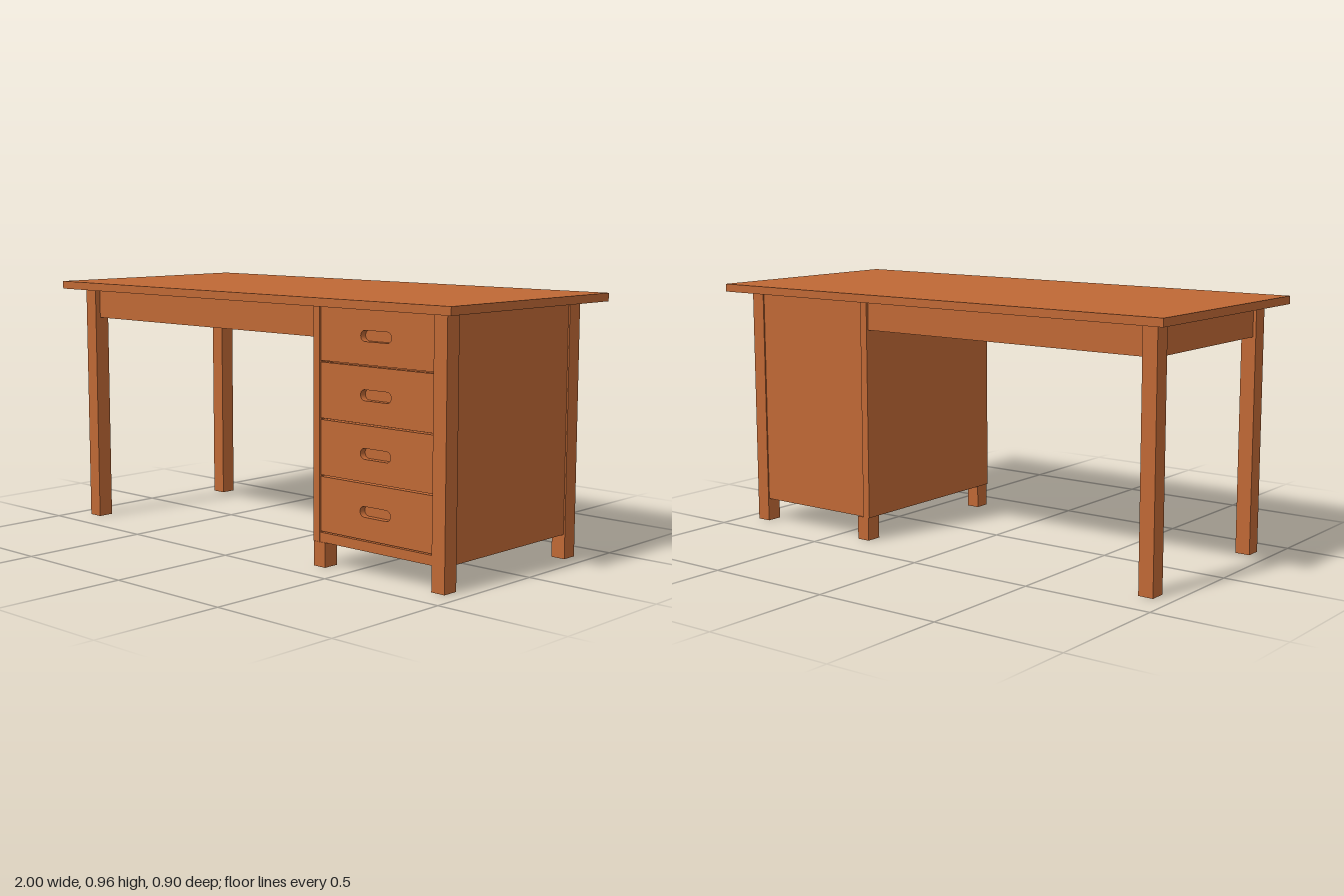
import * as THREE from 'three';

export function createModel() {
  const desk = new THREE.Group();
  desk.name = 'desk';
  const wood = new THREE.MeshStandardMaterial({ color: 0xbf6835 });
  wood.name = 'warm brown wood';

  // Box given by its extents along each axis
  function board(name, [x0, x1], [y0, y1], [z0, z1], parent = desk) {
    const mesh = new THREE.Mesh(new THREE.BoxGeometry(x1 - x0, y1 - y0, z1 - z0), wood);
    mesh.position.set((x0 + x1) / 2, (y0 + y1) / 2, (z0 + z1) / 2);
    mesh.name = name;
    parent.add(mesh);
    return mesh;
  }

  board('tabletop', [-1, 1], [0.93, 0.96], [-0.45, 0.45]);

  // Full-height corner legs and short feet under the inner cabinet side
  const depths = { front: [0.325, 0.387], back: [-0.365, -0.303] };
  for (const [place, z] of Object.entries(depths)) {
    board(place + 'RightLeg', [-0.93, -0.872], [0, 0.93], z);
    board(place + 'LeftLeg', [0.88, 0.936], [0, 0.93], z);
    board(place + 'InnerFoot', [0.342, 0.395], [0, 0.09], z);
  }

  // Aprons below the tabletop
  const apronY = [0.815, 0.93];
  board('frontApron', [-0.872, 0.337], apronY, [0.335, 0.365]);
  board('backApron', [-0.872, 0.337], apronY, [-0.355, -0.325]);
  board('sideApron', [-0.918, -0.888], apronY, [-0.303, 0.325]);

  // Cabinet carcass
  const cabinet = new THREE.Group();
  cabinet.name = 'cabinet';
  desk.add(cabinet);
  board('innerSidePanel', [0.337, 0.367], [0.09, 0.93], [-0.365, 0.385], cabinet);
  board('outerSidePanel', [0.9, 0.93], [0.09, 0.93], [-0.305, 0.327], cabinet);
  board('bottomPanel', [0.367, 0.9], [0.09, 0.125], [-0.36, 0.384], cabinet);
  board('backPanel', [0.367, 0.88], [0.125, 0.93], [-0.36, -0.335], cabinet);

  // Drawer front with a rounded slot cut as its grip
  const w = 0.511, h = 0.197, thick = 0.025;
  const face = new THREE.Shape([
    new THREE.Vector2(-w / 2, -h / 2), new THREE.Vector2(w / 2, -h / 2),
    new THREE.Vector2(w / 2, h / 2), new THREE.Vector2(-w / 2, h / 2),
  ]);
  const slot = new THREE.Path();
  const r = 0.019, reach = 0.05;
  slot.absarc(reach, 0, r, -Math.PI / 2, Math.PI / 2, false);
  slot.absarc(-reach, 0, r, Math.PI / 2, Math.PI * 1.5, false);
  slot.closePath();
  face.holes.push(slot);
  const frontGeometry = new THREE.ExtrudeGeometry(face, { depth: thick, bevelEnabled: false, curveSegments: 8 });

  for (let i = 0; i < 4; i++) {
    const y = 0.227 + i * 0.2025;
    const drawer = new THREE.Group();
    drawer.name = 'drawer' + (i + 1);
    const front = new THREE.Mesh(frontGeometry, wood);
    front.name = 'drawerFront';
    front.position.set(0.6235, y, 0.355);
    drawer.add(front);
    board('drawerBox', [0.372, 0.875], [y - 0.095, y + 0.095], [-0.32, 0.354], drawer);
    cabinet.add(drawer);
  }
  return desk;
}
